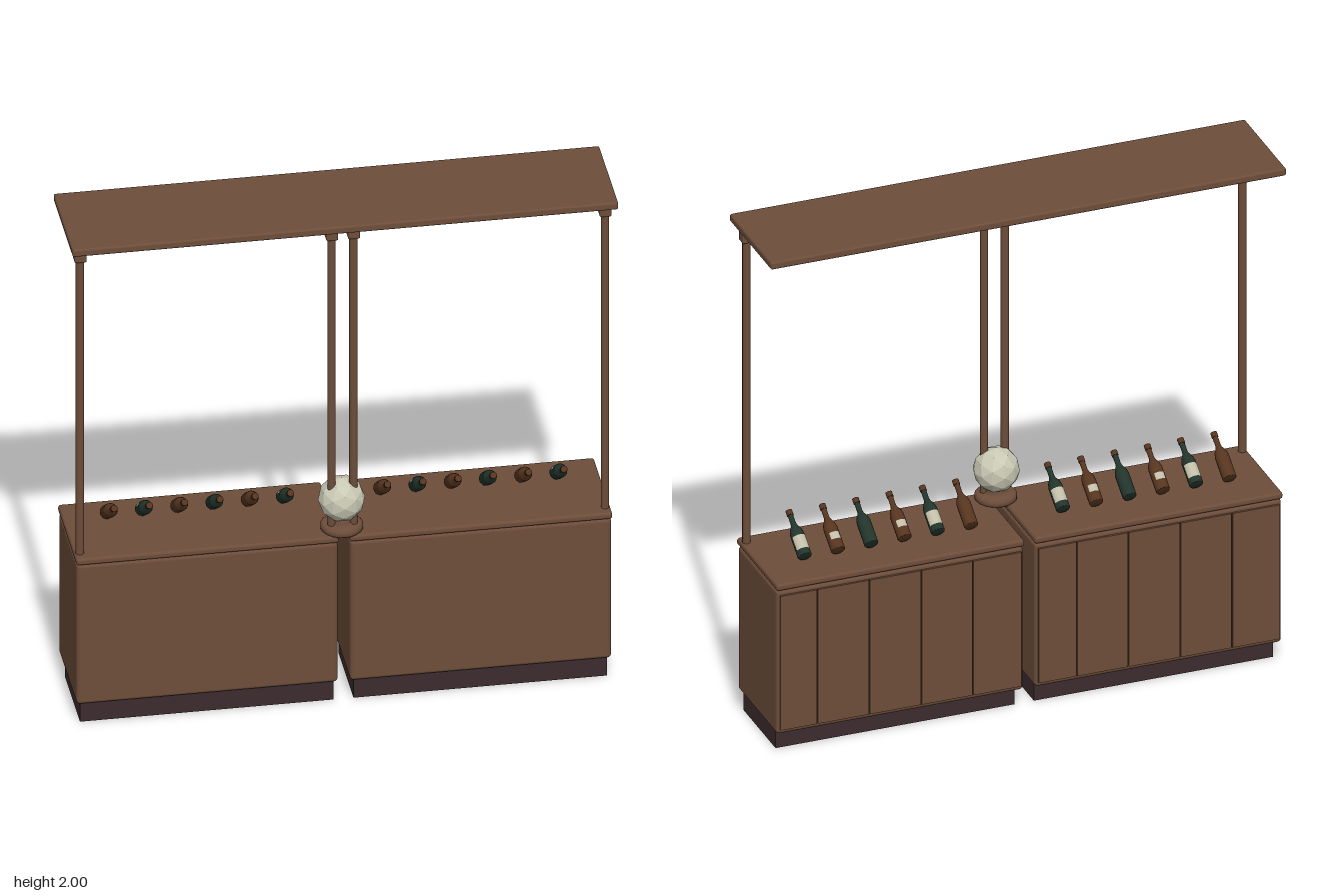
import * as THREE from 'three';
import { RoundedBoxGeometry } from 'three/addons/geometries/RoundedBoxGeometry.js';

const mat = (name, color, extra = {}) => {
  const m = new THREE.MeshStandardMaterial({ color, ...extra });
  m.name = name;
  return m;
};

export function createModel() {
  const wood = mat('wood', 0x6d4d3a);
  const plinthWood = mat('dark plinth', 0x3c2c2e);
  const seamDark = mat('seam shadow', 0x38261c);
  const brownGlass = mat('brown glass', 0x56351f);
  const greenGlass = mat('green glass', 0x22342b);
  const paper = mat('label paper', 0xc2bda8, { side: THREE.DoubleSide });
  const globeStone = mat('pale globe', 0xc9c8b4, { flatShading: true });

  const root = new THREE.Group();
  root.name = 'barStand';
  const add = (parent, name, geometry, material, x = 0, y = 0, z = 0) => {
    const m = new THREE.Mesh(geometry, material);
    m.name = name;
    m.position.set(x, y, z);
    parent.add(m);
    return m;
  };
  // Box given by its limits, with optional rounded edges
  const block = (parent, name, material, [x0, x1], [y0, y1], [z0, z1], r = 0) => {
    const s = [x1 - x0, y1 - y0, z1 - z0];
    const g = r ? new RoundedBoxGeometry(...s, 2, r) : new THREE.BoxGeometry(...s);
    return add(parent, name, g, material, (x0 + x1) / 2, (y0 + y1) / 2, (z0 + z1) / 2);
  };

  // Roof board
  block(root, 'roof', wood, [-0.995, 0.995], [1.97, 2], [-0.2, 0.21], 0.008);

  // Two counters, each with plinth, body, top and a panelled back
  const counters = [
    { side: 'right', x0: -0.975, x1: -0.022, seams: [-0.78, -0.58, -0.38, -0.18] },
    { side: 'left', x0: 0.022, x1: 0.975, seams: [0.22, 0.42, 0.62, 0.82] },
  ];
  for (const { side, x0, x1, seams } of counters) {
    const c = new THREE.Group();
    c.name = side + 'Counter';
    root.add(c);
    block(c, 'plinth', plinthWood, [x0 + 0.015, x1 - 0.015], [0, 0.085], [-0.155, 0.162]);
    block(c, 'body', wood, [x0, x1], [0.08, 0.663], [-0.205, 0.18], 0.015);
    block(c, 'counterTop', wood, [x0 - 0.002, x1 + 0.002], [0.665, 0.692], [-0.212, 0.187], 0.01);
    const edges = [x0 + 0.01, ...seams, x1 - 0.01];
    block(c, 'backSeams', seamDark, [x0 + 0.012, x1 - 0.012], [0.102, 0.643], [-0.207, -0.2]);
    for (let i = 0; i < edges.length - 1; i++) {
      block(c, 'backPanel', wood, [edges[i] + 0.002, edges[i + 1] - 0.002], [0.1, 0.645], [-0.213, -0.204]);
    }
  }

  // Posts with caps under the roof
  const postGeo = new THREE.CylinderGeometry(0.015, 0.015, 1.29, 12);
  for (const x of [-0.957, -0.04, 0.04, 0.957]) {
    const p = new THREE.Group();
    p.name = 'post';
    p.position.set(x, 0, 0.14);
    root.add(p);
    add(p, 'shaft', postGeo, wood, 0, 1.33, 0);
    block(p, 'cap', wood, [-0.022, 0.022], [1.915, 1.972], [-0.022, 0.022], 0.006);
  }

  // Globe on a turned stand
  const stand = [[0, 0.69], [0.07, 0.69], [0.077, 0.697], [0.077, 0.712], [0.07, 0.719],
    [0.045, 0.72], [0.035, 0.728], [0.04, 0.745], [0, 0.745]].map(p => new THREE.Vector2(...p));
  add(root, 'globeStand', new THREE.LatheGeometry(stand, 20), wood, 0, 0, 0.125);
  add(root, 'globe', new THREE.IcosahedronGeometry(0.086, 1), globeStone, 0, 0.814, 0.12);

  // Leaning bottles, neck towards the front
  const profile = [[0, 0], [0.024, 0], [0.026, 0.003], [0.026, 0.095], [0.022, 0.112],
    [0.012, 0.13], [0.01, 0.14], [0.01, 0.19], [0, 0.19]].map(p => new THREE.Vector2(...p));
  const bottleGeo = new THREE.LatheGeometry(profile, 16);
  const foilGeo = new THREE.CylinderGeometry(0.0125, 0.0125, 0.02, 12);
  const labelGeo = (h, arc) =>
    new THREE.CylinderGeometry(0.0268, 0.0268, h, 12, 1, true, Math.PI - arc / 2, arc);
  const bigLabel = labelGeo(0.055, 2.4);
  const smallLabel = labelGeo(0.028, 1.5);
  const labels = [null, bigLabel, smallLabel, null, smallLabel, bigLabel];
  for (const start of [-0.82, 0.177]) {
    for (let i = 0; i < 6; i++) {
      const b = new THREE.Group();
      b.name = 'bottle';
      b.position.set(start + i * 0.1285, 0.717, -0.087);
      b.rotation.x = THREE.MathUtils.degToRad(56);
      root.add(b);
      add(b, 'glass', bottleGeo, i % 2 ? greenGlass : brownGlass);
      add(b, 'foil', foilGeo, brownGlass, 0, 0.183, 0);
      if (labels[i]) add(b, 'label', labels[i], paper, 0, 0.052, 0);
    }
  }
  return root;
}
